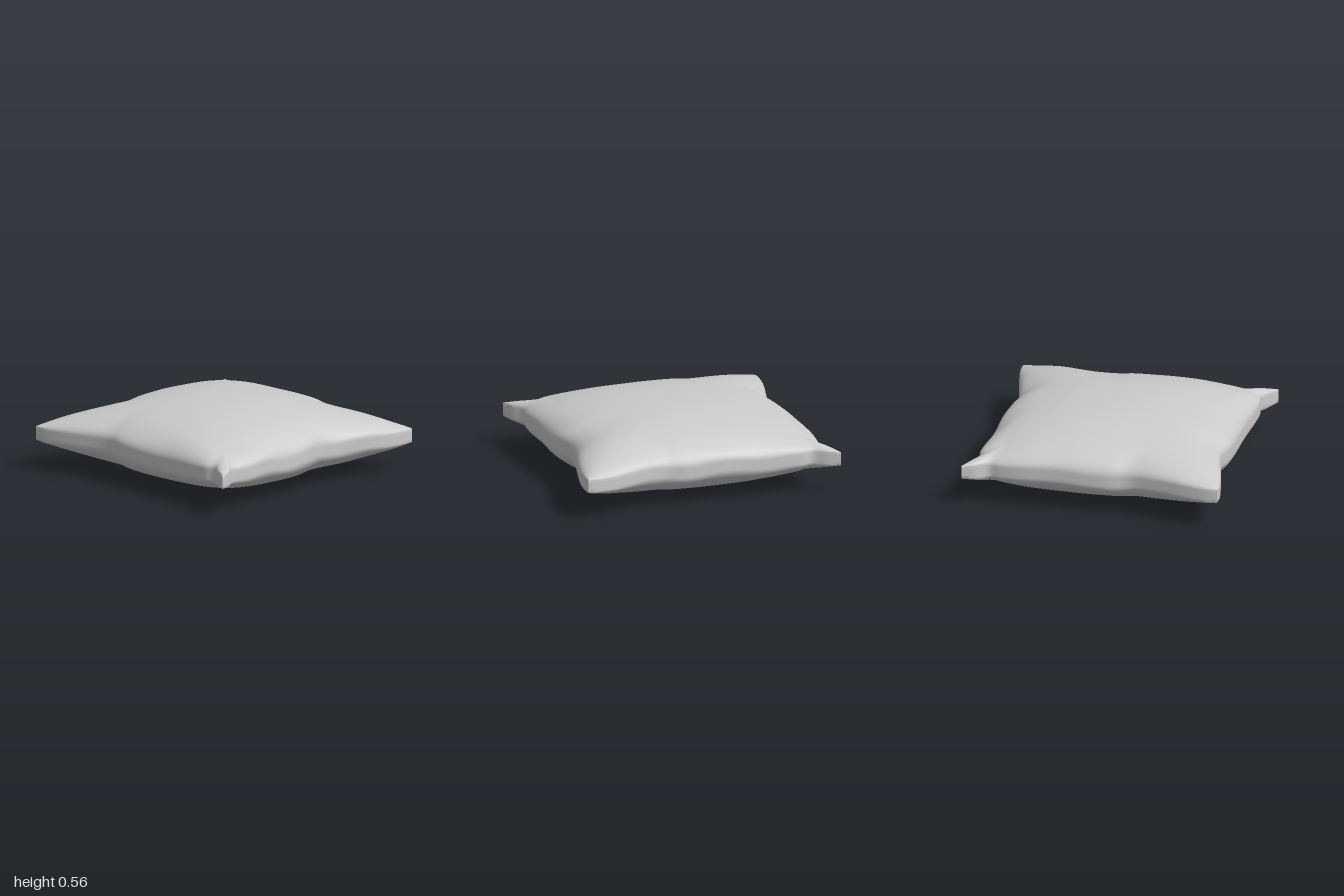
import * as THREE from 'three';
import { mergeVertices, toCreasedNormals } from 'three/addons/utils/BufferGeometryUtils.js';

const MID = 0.28;     // height of the seam plane
const CORNER = 0.052; // half thickness at the corner tips
const SEAM = 0.035;   // half thickness along the sides
const PUFF = 0.278;   // half thickness at the centre
const SEGMENTS = 64;

const curve = (points) => new THREE.SplineCurve(points.map(([x, z]) => new THREE.Vector2(x, z)));
const turned = (points) => points.map(([x, z]) => [-x, -z]).reverse();

// Seam outline as (x, z) points, each side running towards +x or +z
const back = curve([[-0.98, -1], [-0.88, -1], [-0.7, -0.97], [-0.45, -0.905], [-0.28, -0.87], [-0.12, -0.9],
  [0.1, -0.91], [0.3, -0.91], [0.55, -0.922], [0.7, -0.912], [0.79, -0.9], [0.88, -0.96], [0.975, -0.99]]);
const front = curve([[-0.975, 0.99], [-0.88, 0.96], [-0.79, 0.9], [-0.7, 0.912], [-0.55, 0.92], [-0.3, 0.912],
  [0, 0.9], [0.12, 0.868], [0.2, 0.86], [0.33, 0.875], [0.5, 0.925], [0.7, 0.975], [0.88, 1], [0.98, 1]]);
const rightPoints = [[0.975, -0.99], [0.935, -0.9], [0.88, -0.8], [0.9, -0.73], [0.9, -0.6], [0.885, -0.3],
  [0.89, 0], [0.885, 0.2], [0.86, 0.33], [0.88, 0.46], [0.94, 0.7], [0.98, 0.9], [0.98, 1]];
const right = curve(rightPoints);
const left = curve(turned(rightPoints));
const corners = [back.getPoint(0), back.getPoint(1), front.getPoint(0), front.getPoint(1)];

// Blend the four seam curves into a filled patch, s and t from 0 to 1
function patch(s, t) {
  const b = back.getPointAt(s), f = front.getPointAt(s);
  const l = left.getPointAt(t), r = right.getPointAt(t);
  const [bl, br, fl, fr] = corners;
  const mix = (k) => (1 - t) * b[k] + t * f[k] + (1 - s) * l[k] + s * r[k]
    - ((1 - s) * (1 - t) * bl[k] + s * (1 - t) * br[k] + (1 - s) * t * fl[k] + s * t * fr[k]);
  return [mix('x'), mix('y')];
}

// Inflate a subdivided box into the cushion
function cushionGeometry() {
  const box = new THREE.BoxGeometry(2, 2, 2, SEGMENTS, 4, SEGMENTS);
  box.deleteAttribute('normal');
  box.deleteAttribute('uv');
  const geometry = mergeVertices(box);
  const p = geometry.attributes.position;
  for (let i = 0; i < p.count; i++) {
    // Crowd the grid towards the seam, where the curvature is
    const u = Math.sin(p.getX(i) * Math.PI / 2);
    const v = Math.sin(p.getZ(i) * Math.PI / 2);
    const side = p.getY(i);
    const [x, z] = patch((u + 1) / 2, (v + 1) / 2);
    const domeU = Math.max(0, 1 - Math.abs(u) ** 2.3);
    const domeV = Math.max(0, 1 - Math.abs(v) ** 2.3);
    const dome = Math.sqrt(domeU * domeV);
    const seam = SEAM + (CORNER - SEAM) * Math.abs(u * v) ** 4;
    // Soft puckers that fade out at the corners and towards the middle
    const rim = Math.max(Math.abs(u), Math.abs(v)) ** 10 * Math.max(domeU, domeV);
    const pucker = 0.012 * rim * Math.sin(9 * u + 7 * v + 3 * u * v);
    p.setXYZ(i, x, MID + side * (seam + (PUFF - seam) * dome) + pucker, z);
  }
  return toCreasedNormals(geometry, 1.1);
}

export function createModel() {
  const group = new THREE.Group();
  group.name = 'pillow';
  const cushion = new THREE.Mesh(cushionGeometry(), new THREE.MeshStandardMaterial({ color: 0xcccccc }));
  cushion.name = 'cushion';
  group.add(cushion);
  return group;
}
